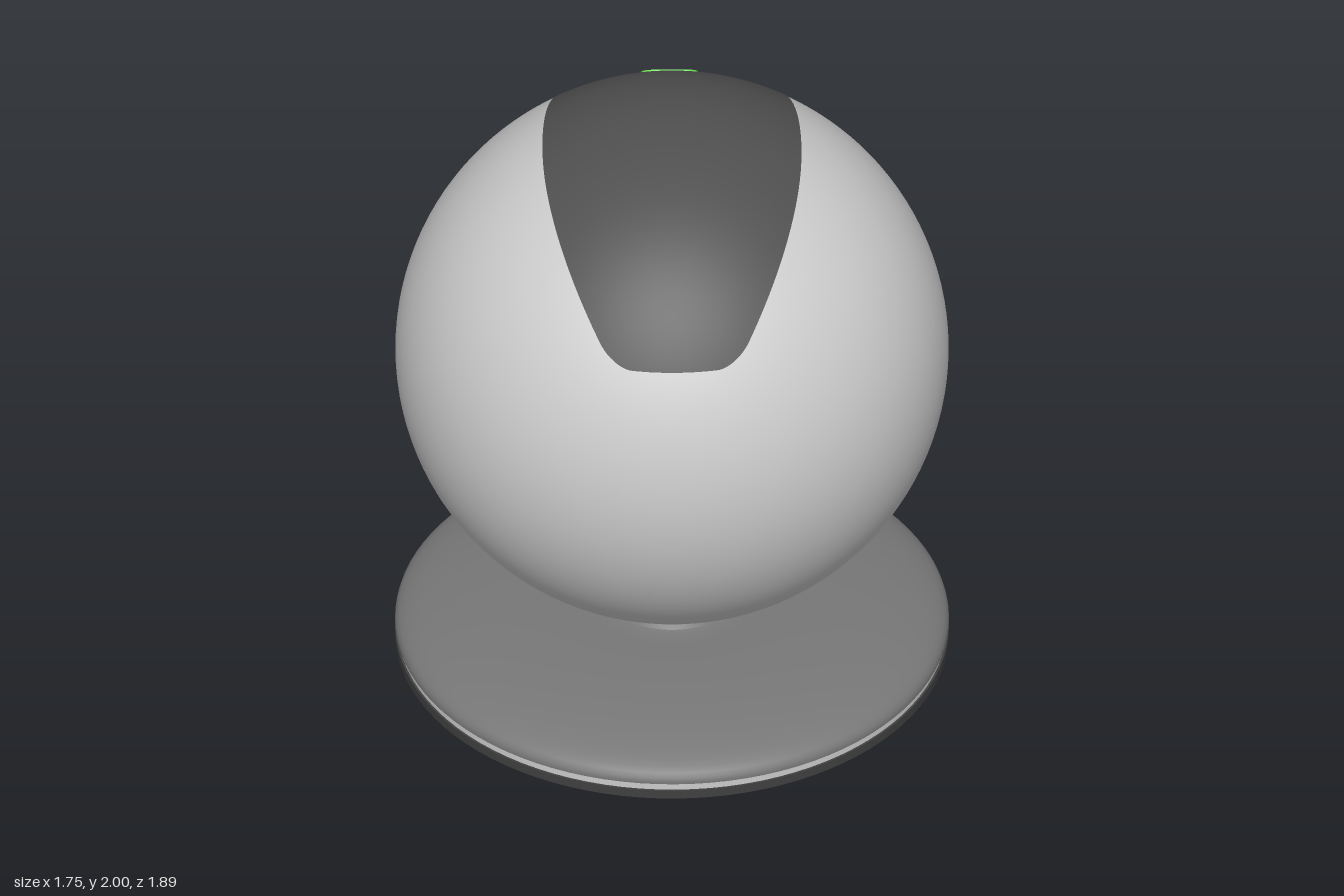
import * as THREE from 'three';
import { toCreasedNormals } from 'three/addons/utils/BufferGeometryUtils.js';

const R = 0.874;                                  // ball radius
const CENTRE = new THREE.Vector3(0, 1.124, 0.07); // ball centre
const TILT = 0.09;                                // lens looks slightly down

const mat = (color) => new THREE.MeshStandardMaterial({ color });
const light = mat(0xcccccc), mid = mat(0x777777), dark = mat(0x505050),
  pad = mat(0x404040), green = mat(0x66dd50), blue = mat(0x5b9fc8);

function mesh(name, geometry, material) {
  const m = new THREE.Mesh(geometry, material);
  m.name = name;
  return m;
}

// Revolve [radius, height] pairs, keeping sharp edges sharp
function lathe(name, pairs, material, segments = 96) {
  const g = new THREE.LatheGeometry(pairs.map(([r, y]) => new THREE.Vector2(r, y)), segments);
  return mesh(name, toCreasedNormals(g, 0.45), material);
}

// Inset panel wrapped over the crown, from low front to low back
function crownPanel() {
  const rows = 80, cols = 24, top = R + 0.002, yEnd = 0.458, round = 0.06;
  // Half width of the panel at height y above the ball centre
  const halfWidth = (y, back) => {
    const t = (0.776 - y) / (0.776 - yEnd);
    let w = 0.41 - (back ? 0.12 : 0.215) * t;
    const h = Math.max(0, y - yEnd);
    if (h < round) w -= round - Math.sqrt(round ** 2 - (round - h) ** 2);
    return w;
  };
  const surface = (s, u, r) => {
    const at = (x) => {
      const ring = Math.sqrt(top * top - x * x);
      const a = s * Math.acos(yEnd / ring);
      return new THREE.Vector3(x, ring * Math.cos(a), ring * Math.sin(a));
    };
    let w = 0.3;
    for (let k = 0; k < 12; k++) w = halfWidth(at(w).y, s < 0);
    return at(u * w).setLength(r);
  };
  const pos = [], index = [];
  for (let i = -1; i <= rows + 1; i++) {
    for (let j = -1; j <= cols + 1; j++) {
      const ci = Math.min(rows, Math.max(0, i)), cj = Math.min(cols, Math.max(0, j));
      const skirt = ci !== i || cj !== j;          // border folds into the ball
      const s = Math.sin((ci / rows - 0.5) * Math.PI);
      pos.push(...surface(s, cj / cols * 2 - 1, skirt ? R - 0.015 : top).toArray());
    }
  }
  const n = cols + 3;
  for (let i = 0; i < rows + 2; i++) {
    for (let j = 0; j < cols + 2; j++) {
      const a = i * n + j, b = a + 1, c = a + n, d = c + 1;
      index.push(a, c, b, b, c, d);
    }
  }
  const g = new THREE.BufferGeometry();
  g.setAttribute('position', new THREE.Float32BufferAttribute(pos, 3));
  g.setIndex(index);
  return mesh('crownPanel', toCreasedNormals(g, 0.5), dark);
}

// Small pill-shaped status light on the back slope of the panel
function statusLight() {
  const w = 0.09, r = 0.042, shape = new THREE.Shape();
  shape.absarc(w - r, 0, r, -Math.PI / 2, Math.PI / 2);
  shape.absarc(r - w, 0, r, Math.PI / 2, Math.PI * 1.5);
  const g = new THREE.ExtrudeGeometry(shape, { depth: 0.02, bevelEnabled: false, curveSegments: 12 });
  const m = mesh('statusLight', g, green);
  const a = Math.PI / 4;
  m.position.set(0, Math.cos(a), -Math.sin(a)).multiplyScalar(R - 0.012);
  m.rotation.x = -Math.PI / 2 - a;
  return m;
}

function createBase() {
  const base = new THREE.Group();
  base.name = 'base';
  base.position.z = CENTRE.z;
  base.add(lathe('footPad', [[0, 0], [0.875, 0], [0.875, 0.03], [0, 0.03]], pad));
  base.add(lathe('trimRing', [[0.8, 0.03], [0.868, 0.03], [0.868, 0.056], [0.8, 0.056]], light));
  // Domed disc flowing through a small fillet into the neck
  const profile = [[0.8, 0.056], [0.875, 0.056], [0.875, 0.064]];
  for (let i = 1; i <= 14; i++) {
    const a = i / 14 * Math.PI / 2;
    profile.push([0.3 + 0.575 * Math.cos(a), 0.064 + 0.112 * Math.sin(a)]);
  }
  profile.push([0.245, 0.177], [0.228, 0.182], [0.218, 0.195], [0.215, 0.21], [0.215, 0.34]);
  base.add(lathe('discAndNeck', profile, mid));
  return base;
}

// Everything turned around the lens axis; local y points out of the lens
function createLens() {
  const lens = new THREE.Group();
  lens.name = 'lensAssembly';
  lens.rotation.x = -Math.PI / 2 - TILT;

  // Ball, cut flat behind the lens
  const cut = 0.732, end = Math.acos(cut / R), ball = [];
  for (let i = 0; i <= 64; i++) {
    const a = Math.PI - (Math.PI - end) * i / 64;
    ball.push([Math.max(0, R * Math.sin(a)), R * Math.cos(a)]);
  }
  ball.push([0, cut]);
  lens.add(lathe('ball', ball, light, 128));

  lens.add(lathe('lensHousing', [
    [0.3, 0.74], [0.486, 0.74], [0.486, 0.763], [0.327, 0.846],
    [0.325, 0.972], [0.26, 0.994], [0.222, 0.994], [0.222, 0.975]], dark));

  // Stepped rings narrowing toward the glass
  const steps = 5, rings = [[0.222, 0.98]];
  for (let i = 1; i <= steps; i++) {
    const r = 0.222 - 0.022 * i, y = 0.98 - 0.024 * i;
    rings.push([r + 0.022, y], [r, y]);
  }
  rings.push([0.112, 0.83]);
  lens.add(lathe('steppedRings', rings, mid));

  const glass = [];
  for (let i = 0; i <= 8; i++) {
    const t = i / 8;
    glass.push([0.114 * (1 - t), 0.845 + 0.03 * (1 - (1 - t) ** 2)]);
  }
  lens.add(lathe('lensGlass', glass, blue, 48));
  return lens;
}

export function createModel() {
  const model = new THREE.Group();
  model.name = 'webcam';
  const head = new THREE.Group();
  head.name = 'head';
  head.position.copy(CENTRE);
  head.add(createLens(), crownPanel(), statusLight());
  model.add(createBase(), head);
  return model;
}
